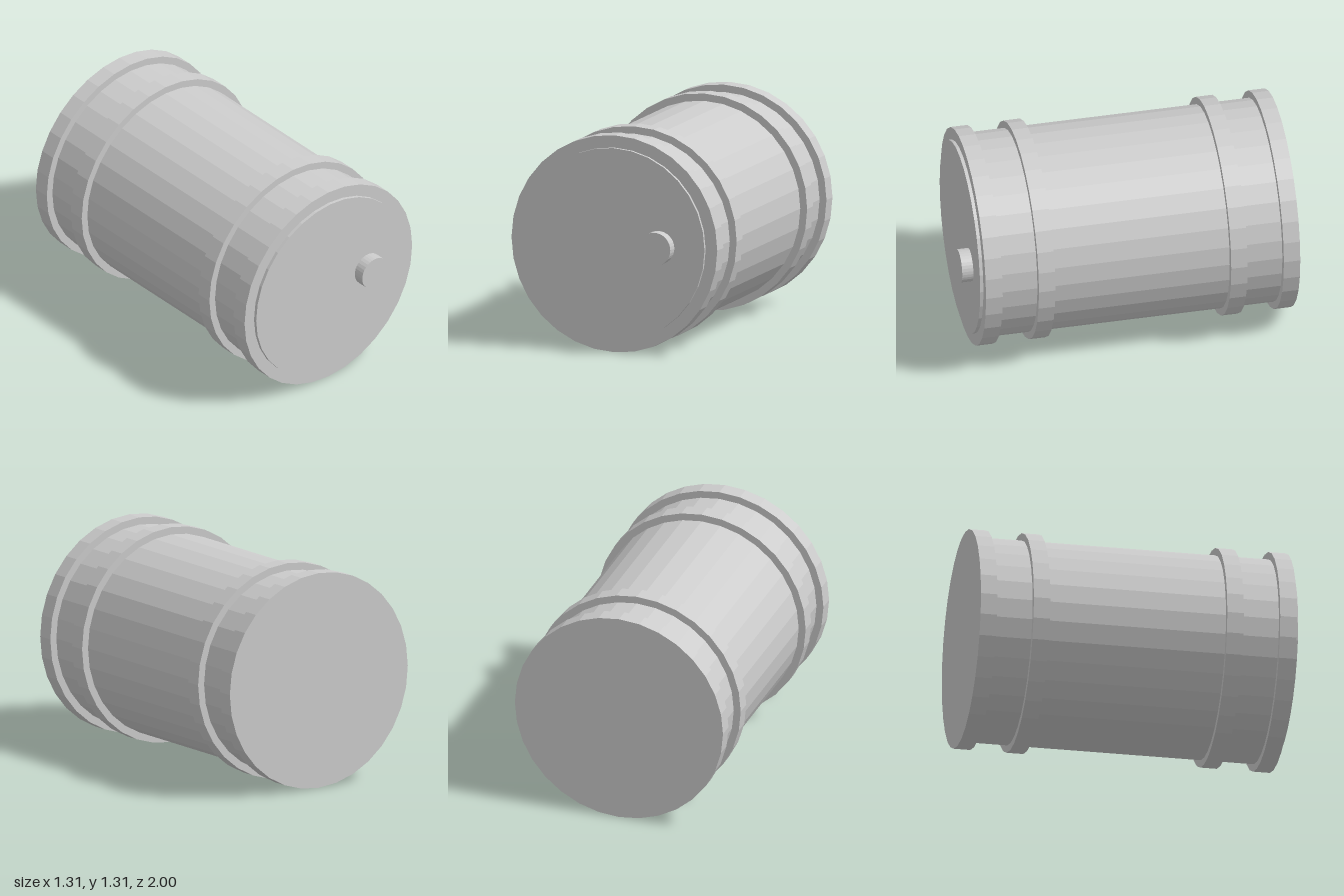
import * as THREE from 'three';

const AXIS_Y = 0.656;
const SIDES = 32;

export function createModel() {
  const group = new THREE.Group();
  group.name = 'drum';
  const metal = new THREE.MeshStandardMaterial({ color: 0xcccccc, flatShading: true });
  metal.name = 'grey metal';

  // Cylinder lying along z between two depths
  const addCylinder = (name, radius, z0, z1, x = 0) => {
    const geometry = new THREE.CylinderGeometry(radius, radius, z1 - z0, SIDES);
    geometry.rotateX(Math.PI / 2);
    const mesh = new THREE.Mesh(geometry, metal);
    mesh.name = name;
    mesh.position.set(x, AXIS_Y, (z0 + z1) / 2);
    group.add(mesh);
  };

  // Barrel wall
  addCylinder('barrel', 0.612, -0.98, 0.9);

  // End rims and rolling hoops
  addCylinder('backRim', 0.656, -1, -0.9);
  addCylinder('backHoop', 0.656, -0.68, -0.58);
  addCylinder('frontHoop', 0.656, 0.49, 0.59);
  addCylinder('frontRim', 0.656, 0.81, 0.912);

  // Raised lid with its off-centre bung
  addCylinder('lid', 0.582, 0.9, 0.932);
  addCylinder('bung', 0.1, 0.92, 1, 0.29);

  return group;
}
